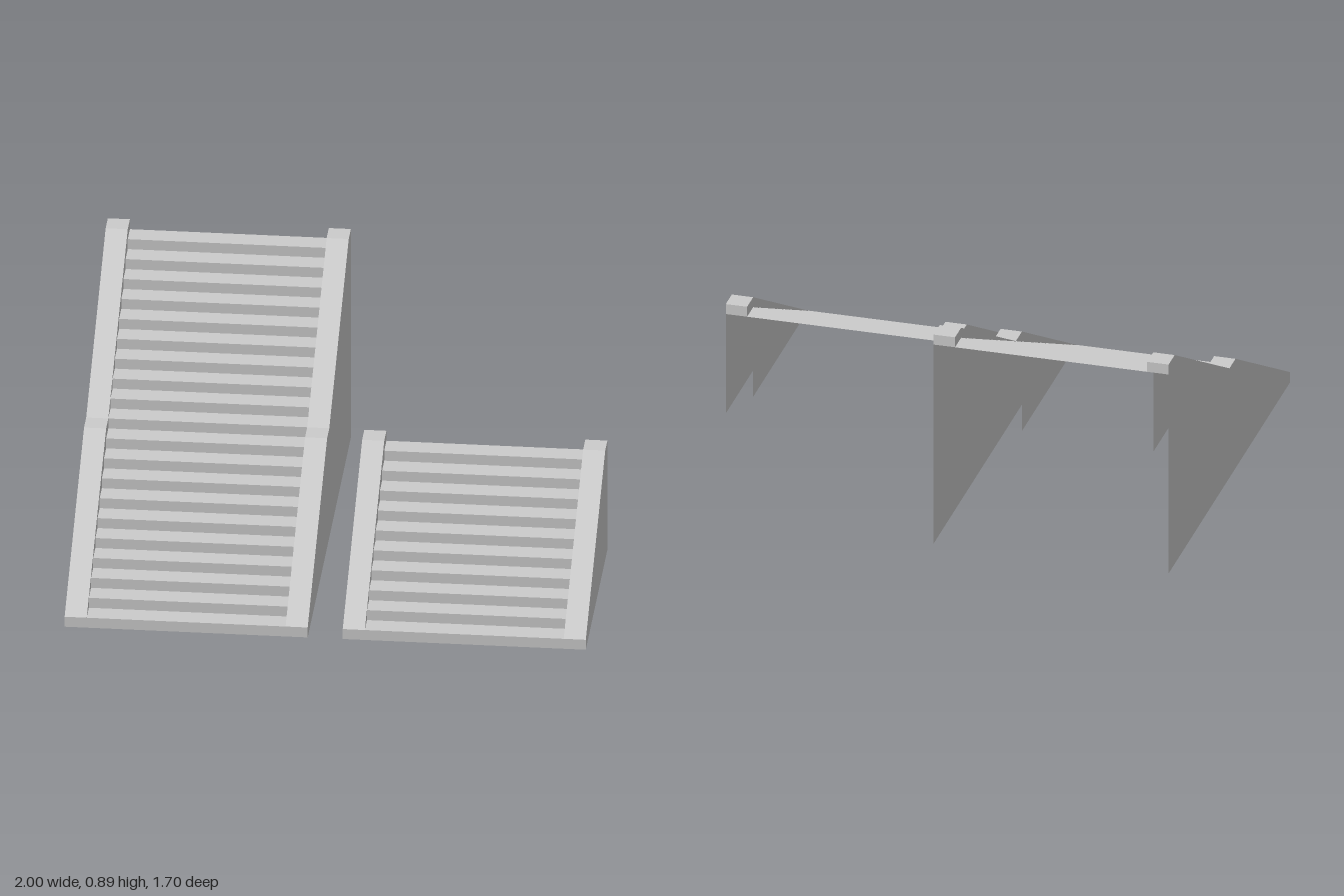
import * as THREE from 'three';

const STEPS = 10;
const RUN = 0.0848;            // tread depth, also the width of a side rail
const RISE = 0.0425;
const DEPTH = STEPS * RUN;     // one flight
const HEIGHT = STEPS * RISE;
const WIDTH = 11 * RUN;

const material = new THREE.MeshStandardMaterial({
  color: 0xcccccc, flatShading: true, side: THREE.DoubleSide,
});

// Sheet: a (z, y) polyline swept along x
function sheet(name, path, x0, x1) {
  const pos = [];
  for (let i = 0; i < path.length - 1; i++) {
    const [az, ay] = path[i], [bz, by] = path[i + 1];
    pos.push(x0, ay, az, x1, ay, az, x1, by, bz);
    pos.push(x0, ay, az, x1, by, bz, x0, by, bz);
  }
  const geo = new THREE.BufferGeometry();
  geo.setAttribute('position', new THREE.Float32BufferAttribute(pos, 3));
  geo.computeVertexNormals();
  const mesh = new THREE.Mesh(geo, material);
  mesh.name = name;
  return mesh;
}

// Flat upright panel: a (z, y) outline placed at x
function panel(name, outline, x) {
  const shape = new THREE.Shape(outline.map(([z, y]) => new THREE.Vector2(z, y)));
  const geo = new THREE.ShapeGeometry(shape).rotateY(-Math.PI / 2).translate(x, 0, 0);
  const mesh = new THREE.Mesh(geo, material);
  mesh.name = name;
  return mesh;
}

// One flight of ten steps with its rails, starting at front z and base y
function flight(x0, z, y) {
  const group = new THREE.Group();
  group.name = 'flight';
  const x1 = x0 + WIDTH, capZ = z - DEPTH + RUN, backZ = z - DEPTH;
  const low = y + RISE, treadY = y + HEIGHT, capY = treadY + RISE;

  // full-width first riser, then the zigzag between the rails
  group.add(sheet('firstRiser', [[z, y], [z, low]], x0, x1));
  const zigzag = [[z, low]];
  for (let k = 1; k <= STEPS; k++) {
    zigzag.push([z - k * RUN, y + k * RISE]);
    if (k < STEPS) zigzag.push([z - k * RUN, y + (k + 1) * RISE]);
  }
  group.add(sheet('steps', zigzag, x0 + RUN, x1 - RUN));

  // sloping rails with a flat cap and a thin inner cheek
  for (const [outer, inner] of [[x0, x0 + RUN], [x1, x1 - RUN]]) {
    group.add(sheet('railTop', [[z, low], [capZ, capY], [backZ, capY], [backZ, treadY]],
      Math.min(outer, inner), Math.max(outer, inner)));
    group.add(panel('railCheek', [[z, low], [capZ, low], [capZ, capY]], inner));
    group.add(panel('capCheek', [[capZ, treadY], [backZ, treadY], [backZ, capY], [capZ, capY]], inner));
  }
  return group;
}

// Staircase of stacked flights with outer walls reaching the ground
function staircase(name, x0, flights) {
  const group = new THREE.Group();
  group.name = name;
  const outline = [[DEPTH, 0], [DEPTH, RISE]];
  for (let i = 0; i < flights; i++) {
    const z = DEPTH * (1 - i), y = HEIGHT * i;
    group.add(flight(x0, z, y));
    outline.push([z - DEPTH + RUN, y + HEIGHT + RISE], [z - DEPTH, y + HEIGHT + RISE]);
  }
  outline.push([DEPTH * (1 - flights), 0]);
  for (const x of [x0, x0 + WIDTH]) group.add(panel('outerWall', outline, x));
  return group;
}

export function createModel() {
  const model = new THREE.Group();
  model.name = 'stairs';
  model.add(staircase('tallStaircase', -1, 2));
  model.add(staircase('shortStaircase', 1 - WIDTH, 1));
  return model;
}
